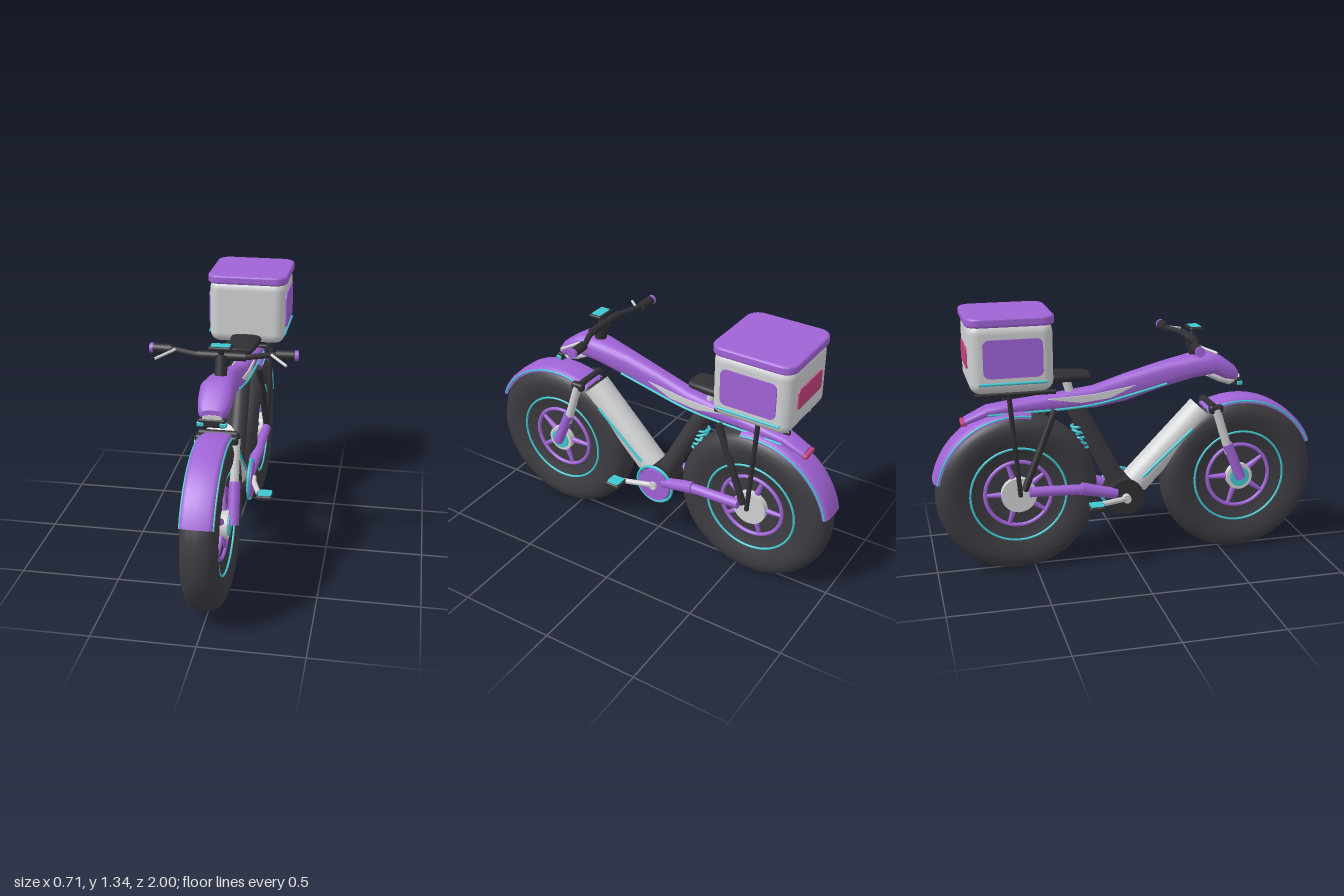
import * as THREE from 'three';
import { RoundedBoxGeometry } from 'three/addons/geometries/RoundedBoxGeometry.js';

const mat = (name, color, side = THREE.FrontSide) => {
  const m = new THREE.MeshStandardMaterial({ color, side });
  m.name = name;
  return m;
};
const V = (x, y, z) => new THREE.Vector3(x, y, z);
const SIDES = [-1, 1];

export function createModel() {
  const purple = mat('purple paint', 0xa063d6, THREE.DoubleSide);
  const dark = mat('tyre rubber', 0x3c3b41);
  const black = mat('black metal', 0x2f2f34);
  const pale = mat('pale grey', 0xd0d1d3);
  const cyan = mat('cyan trim', 0x3fc6d0);
  const pink = mat('pink lamp', 0xc4437f);
  const model = new THREE.Group();
  model.name = 'cargoBike';

  const add = (name, geo, material, x = 0, y = 0, z = 0, parent = model) => {
    const m = new THREE.Mesh(geo, material);
    m.name = name;
    m.position.set(x, y, z);
    parent.add(m);
    return m;
  };
  // Straight round bar from a to b
  const rod = (name, a, b, r1, material, r2 = r1, parent = model) => {
    const m = add(name, new THREE.CylinderGeometry(r2, r1, a.distanceTo(b), 24), material, 0, 0, 0, parent);
    m.position.copy(a).add(b).multiplyScalar(0.5);
    m.quaternion.setFromUnitVectors(V(0, 1, 0), b.clone().sub(a).normalize());
    return m;
  };
  const tube = (name, pts, r, material) =>
    add(name, new THREE.TubeGeometry(new THREE.CatmullRomCurve3(pts), 40, r, 10), material);
  const box = (name, w, h, d, r, material, x, y, z) =>
    add(name, new RoundedBoxGeometry(w, h, d, 4, r), material, x, y, z);

  // Skin over rounded sections [z, y, halfWidth, halfHeight], listed front to back
  const loft = (name, rows, material, power = 2.6, N = 28) => {
    const pos = [], idx = [];
    const se = (v) => Math.sign(v) * Math.abs(v) ** (2 / power);
    const ring = ([z, y, w, h]) => {
      for (let j = 0; j < N; j++) {
        const t = (j / N) * Math.PI * 2;
        pos.push(w * se(Math.cos(t)), y + h * se(Math.sin(t)), z);
      }
    };
    rows.forEach(ring);
    for (let i = 0; i < rows.length - 1; i++) for (let j = 0; j < N; j++) {
      const a = i * N + j, b = i * N + (j + 1) % N;
      idx.push(a, a + N, b, b, a + N, b + N);
    }
    [rows[0], rows[rows.length - 1]].forEach((row, k) => {
      const s = pos.length / 3;
      ring(row);
      pos.push(0, row[1], row[0]);
      for (let j = 0; j < N; j++) {
        const p = s + j, q = s + (j + 1) % N;
        k ? idx.push(s + N, q, p) : idx.push(s + N, p, q);
      }
    });
    const g = new THREE.BufferGeometry();
    g.setAttribute('position', new THREE.Float32BufferAttribute(pos, 3));
    g.setIndex(idx);
    g.computeVertexNormals();
    return add(name, g, material);
  };

  // Lathe about the x axis; angles run from +z up over the top
  const turned = (pts, a0 = 0, a1 = Math.PI * 2) => new THREE.LatheGeometry(
    pts.map(([r, x]) => new THREE.Vector2(r, x)), 64, -a1, a1 - a0).rotateZ(-Math.PI / 2);
  const hoop = (R, r, a0 = 0, a1 = Math.PI * 2) =>
    new THREE.TorusGeometry(R, r, 8, 64, a1 - a0).rotateZ(a0).rotateY(-Math.PI / 2);
  const roundRect = (w, h, r) => {
    const s = new THREE.Shape(), x = w / 2, y = h / 2, q = Math.PI / 2;
    s.absarc(x - r, y - r, r, 0, q);
    s.absarc(r - x, y - r, r, q, 2 * q);
    s.absarc(r - x, r - y, r, 2 * q, 3 * q);
    s.absarc(x - r, r - y, r, 3 * q, 4 * q);
    return s;
  };
  const plate = (shape, depth = 0.008) =>
    new THREE.ExtrudeGeometry(shape, { depth, bevelEnabled: false, curveSegments: 8 }).translate(0, 0, -depth / 2);

  // Wheels with mudguards
  const half = [[0.16, 0.045], [0.2, 0.052], [0.243, 0.066], [0.29, 0.083], [0.335, 0.088], [0.365, 0.081], [0.39, 0.066], [0.406, 0.042], [0.412, 0]];
  const tyre = [[0, -0.045], ...half.map(([r, x]) => [r, -x]), ...half.slice(0, -1).reverse(), [0, 0.045]];
  const guard = [[0.398, -0.076], [0.418, -0.073], [0.428, -0.055], [0.431, 0], [0.428, 0.055], [0.418, 0.073], [0.398, 0.076],
    [0.398, 0.07], [0.414, 0.06], [0.416, 0], [0.414, -0.06], [0.398, -0.07], [0.398, -0.076]];
  const wheel = (name, z, hubR, a0, a1) => {
    const g = new THREE.Group();
    g.name = name;
    g.position.set(0, 0.42, z);
    model.add(g);
    const rad = Math.PI / 180;
    add('tyre', turned(tyre), dark, 0, 0, 0, g);
    add('mudguard', turned(guard, a0 * rad, a1 * rad), purple, 0, 0, 0, g);
    rod('hub', V(-0.08, 0, 0), V(0.08, 0, 0), hubR, pale, hubR, g);
    for (const s of SIDES) {
      add('rimStripe', hoop(0.243, 0.006), cyan, s * 0.068, 0, 0, g);
      add('rimRing', hoop(0.168, 0.01), purple, s * 0.05, 0, 0, g);
      add('mudguardEdge', hoop(0.41, 0.005, a0 * rad, a1 * rad), cyan, s * 0.076, 0, 0, g);
      for (let i = 0; i < 5; i++) {
        const a = Math.PI + (i * Math.PI * 2) / 5, c = Math.cos(a), n = Math.sin(a);
        rod('spoke', V(s * 0.05, n * 0.05, c * 0.05), V(s * 0.048, n * 0.165, c * 0.165), 0.018, purple, 0.009, g);
      }
    }
    return g;
  };
  const front = wheel('frontWheel', 0.586, 0.07, 24, 116);
  rod('hubCap', V(-0.086, 0, 0), V(0.086, 0, 0), 0.052, cyan, 0.052, front);
  wheel('rearWheel', -0.58, 0.09, 80, 168);

  // Main frame spine, nose underside and headlamp
  loft('frameSpine', [[0.572, 0.97, 0.05, 0.02], [0.555, 0.973, 0.068, 0.04], [0.5, 0.998, 0.08, 0.056], [0.44, 1.032, 0.082, 0.06],
    [0.33, 1.018, 0.074, 0.062], [0.17, 0.98, 0.055, 0.066], [-0.02, 0.925, 0.047, 0.069], [-0.18, 0.888, 0.047, 0.056],
    [-0.4, 0.875, 0.05, 0.04], [-0.6, 0.863, 0.055, 0.03], [-0.72, 0.85, 0.055, 0.026], [-0.83, 0.805, 0.045, 0.018]], purple);
  loft('noseUnderside', [[0.582, 0.952, 0.045, 0.016], [0.53, 0.935, 0.055, 0.026], [0.47, 0.955, 0.058, 0.024], [0.41, 0.98, 0.05, 0.02]], pale);
  box('headlamp', 0.13, 0.042, 0.035, 0.01, black, 0, 0.93, 0.57);
  for (const s of SIDES) box('headlampLight', 0.034, 0.022, 0.03, 0.006, cyan, s * 0.053, 0.925, 0.576);
  box('tailLamp', 0.09, 0.025, 0.03, 0.008, pink, 0, 0.8, -0.835);

  // Side panels and trim lines of the spine
  const panel = new THREE.Shape([[0.03, 0.945], [-0.18, 0.912], [-0.42, 0.9], [-0.25, 0.872], [-0.1, 0.888]].map(([z, y]) => new THREE.Vector2(z, y)));
  for (const s of SIDES) {
    add('framePanel', plate(panel).rotateY(-Math.PI / 2), pale, s * 0.049, 0, 0);
    tube('frameTrim', [V(s * 0.058, 0.945, 0.19), V(s * 0.048, 0.895, 0), V(s * 0.047, 0.862, -0.15), V(s * 0.048, 0.848, -0.28), V(s * 0.055, 0.838, -0.72)], 0.006, cyan);
  }

  // Battery down tube, seat tube, spring
  rod('batteryTube', V(0, 0.418, 0.034), V(0, 0.785, 0.391), 0.075, pale);
  rod('seatTube', V(0, 0.39, -0.04), V(0, 0.85, -0.28), 0.048, dark);
  rod('seatPost', V(0, 0.85, -0.28), V(0, 0.99, -0.32), 0.022, pale);
  for (let i = 0; i < 5; i++) {
    const coil = add('springCoil', new THREE.TorusGeometry(0.032, 0.007, 8, 24).rotateX(Math.PI / 2), cyan, 0, 0.74 - i * 0.028, -0.262 + i * 0.006);
    coil.rotation.x = i % 2 ? 0.25 : -0.05;
  }
  for (const s of SIDES) {
    rod('batteryTrim', V(s * 0.074, 0.46, 0.06), V(s * 0.074, 0.7, 0.325), 0.008, cyan);
    // Front fork
    rod('forkUpper', V(s * 0.092, 0.56, 0.52), V(s * 0.088, 0.8, 0.445), 0.022, pale);
    rod('forkLower', V(s * 0.1, 0.42, 0.586), V(s * 0.094, 0.61, 0.508), 0.027, purple);
    box('forkCap', 0.04, 0.045, 0.075, 0.015, black, s * 0.084, 0.8, 0.445);
    // Swing arm and rear struts
    rod('swingArmFront', V(s * 0.08, 0.385, -0.08), V(s * 0.095, 0.435, -0.27), 0.027, purple, 0.033);
    rod('swingArmRear', V(s * 0.095, 0.43, -0.25), V(s * 0.098, 0.44, -0.53), 0.026, purple);
    rod('rearStrut', V(s * 0.098, 0.45, -0.555), V(s * 0.075, 0.85, -0.39), 0.018, black);
    rod('rackPost', V(s * 0.095, 0.42, -0.575), V(s * 0.113, 0.955, -0.62), 0.012, black);
    rod('rackRail', V(s * 0.113, 0.957, -0.39), V(s * 0.113, 0.957, -0.785), 0.012, black);
  }
  rod('forkCrown', V(-0.09, 0.815, 0.43), V(0.09, 0.815, 0.43), 0.018, black);
  for (const z of [-0.45, -0.62, -0.75]) rod('rackCrossbar', V(-0.113, 0.957, z), V(0.113, 0.957, z), 0.01, black);

  // Drive unit, cranks and pedals
  const cy = 0.36, cz = -0.03;
  rod('driveUnit', V(-0.085, cy, cz), V(0.085, cy, cz), 0.095, black);
  rod('chainring', V(0.085, cy, cz), V(0.1, cy, cz), 0.093, purple);
  add('chainringEdge', hoop(0.104, 0.008), cyan, 0.088, cy, cz);
  for (const s of SIDES) {
    rod('crankBoss', V(s * 0.08, cy, cz), V(s * 0.115, cy, cz), 0.022, pale);
    rod('crankArm', V(s * 0.1, cy, cz), V(s * 0.155, cy, cz + s * 0.165), 0.014, pale);
    box('pedal', 0.085, 0.026, 0.085, 0.01, black, s * 0.188, 0.362, cz + s * 0.178);
    add('pedalTop', plate(roundRect(0.07, 0.07, 0.012), 0.006).rotateX(-Math.PI / 2), cyan, s * 0.188, 0.375, cz + s * 0.178);
  }

  // Handlebar, stem and display
  rod('stem', V(0, 1.05, 0.36), V(0, 1.17, 0.325), 0.03, black);
  tube('handlebar', [V(-0.34, 1.167, 0.268), V(-0.25, 1.167, 0.272), V(-0.12, 1.165, 0.318), V(0, 1.165, 0.325),
    V(0.12, 1.165, 0.318), V(0.25, 1.167, 0.272), V(0.34, 1.167, 0.268)], 0.014, black);
  rod('handlebarClamp', V(-0.115, 1.165, 0.321), V(0.115, 1.165, 0.321), 0.02, black);
  for (const s of SIDES) {
    rod('grip', V(s * 0.25, 1.167, 0.272), V(s * 0.34, 1.167, 0.268), 0.023, black);
    rod('gripEnd', V(s * 0.338, 1.167, 0.268), V(s * 0.355, 1.167, 0.267), 0.024, purple);
    rod('brakeLever', V(s * 0.23, 1.172, 0.29), V(s * 0.31, 1.148, 0.365), 0.007, pale);
  }
  rod('displayMount', V(0, 1.165, 0.33), V(0, 1.21, 0.342), 0.014, black);
  box('display', 0.11, 0.018, 0.07, 0.008, black, 0, 1.215, 0.345);
  add('displayScreen', plate(roundRect(0.09, 0.052, 0.01), 0.005).rotateX(-Math.PI / 2), cyan, 0, 1.223, 0.345);

  // Saddle
  loft('saddle', [[-0.2, 1.005, 0.045, 0.01], [-0.215, 1.005, 0.066, 0.018], [-0.3, 1.005, 0.076, 0.024], [-0.4, 1.007, 0.082, 0.026], [-0.47, 1.01, 0.08, 0.024]], black, 3);

  // Delivery box with lid and painted panels
  const bz = -0.61;
  box('cargoBox', 0.405, 0.345, 0.405, 0.055, pale, 0, 1.15, bz);
  const lid = new THREE.ExtrudeGeometry(roundRect(0.4, 0.4, 0.055), { depth: 0.022, bevelThickness: 0.012, bevelSize: 0.013, bevelSegments: 4, curveSegments: 10 });
  add('cargoLid', lid.rotateX(-Math.PI / 2), purple, 0, 1.315, bz);
  for (const s of SIDES) {
    add('boxSidePanel', plate(roundRect(0.285, 0.185, 0.03)).rotateY(-Math.PI / 2), purple, s * 0.205, 1.153, bz + 0.005);
    rod('boxTrim', V(s * 0.203, 1.032, bz - 0.16), V(s * 0.203, 1.032, bz + 0.165), 0.007, cyan);
  }
  add('boxRearPanel', plate(roundRect(0.24, 0.1, 0.015)), pink, 0, 1.145, bz - 0.205);
  return model;
}
